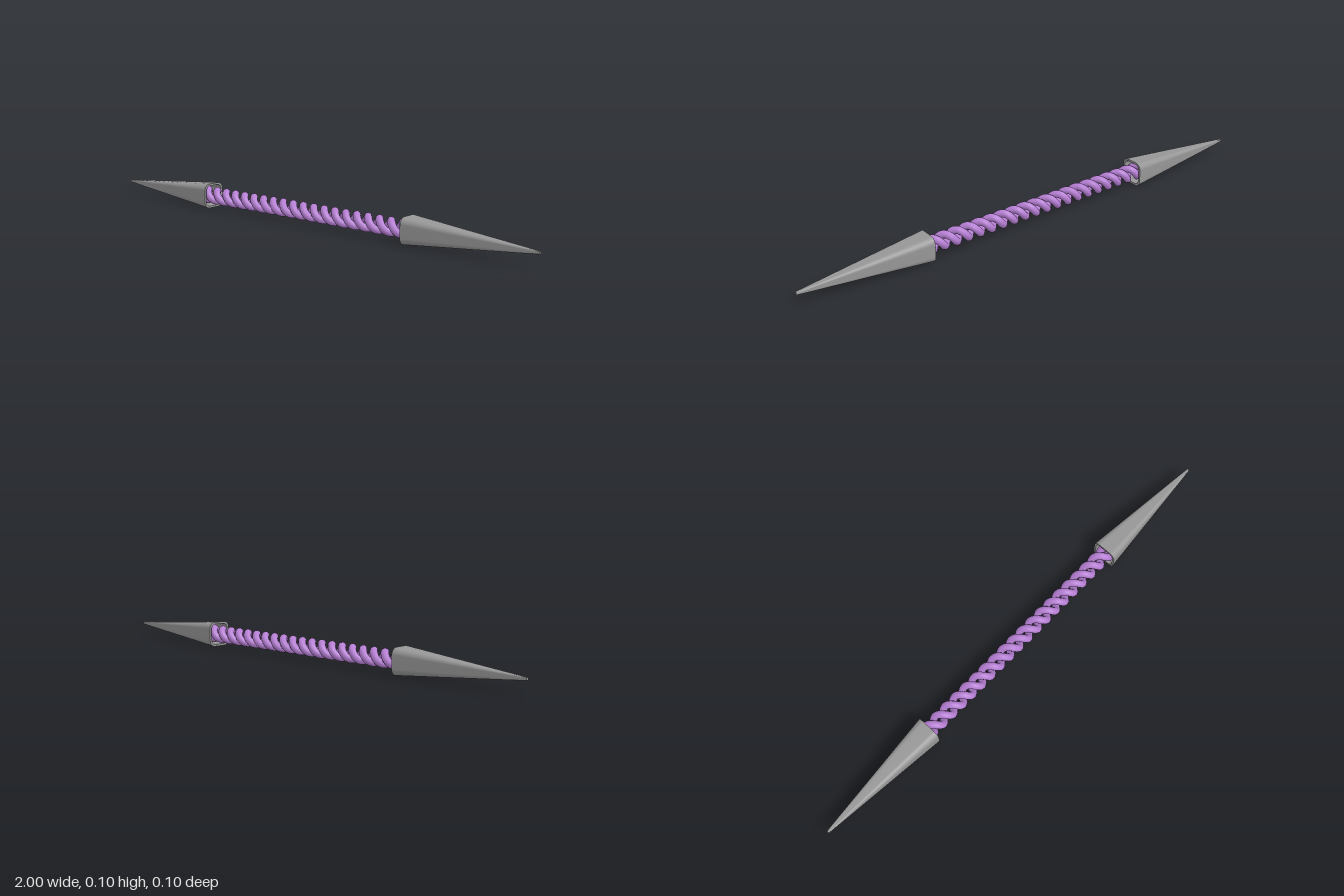
import * as THREE from 'three';
import { mergeGeometries } from 'three/addons/utils/BufferGeometryUtils.js';

const AXIS_Y = 0.05;

// Rounded-square ring of points in the YZ plane at a given x
function ring(x, half) {
  const points = [], radius = half * 0.5, steps = 6;
  for (let corner = 0; corner < 4; corner++) {
    const mid = (corner + 0.5) * Math.PI / 2;
    const cy = Math.sign(Math.cos(mid)) * (half - radius);
    const cz = Math.sign(Math.sin(mid)) * (half - radius);
    for (let i = 0; i <= steps; i++) {
      const a = (corner + i / steps) * Math.PI / 2;
      points.push([x, cy + radius * Math.cos(a), cz + radius * Math.sin(a)]);
    }
  }
  return points;
}

// Smooth band joining two rings
function band(a, b) {
  const n = a.length, index = [];
  for (let i = 0; i < n; i++) {
    const j = (i + 1) % n;
    index.push(i, j, n + i, j, n + j, n + i);
  }
  const geometry = new THREE.BufferGeometry();
  geometry.setAttribute('position', new THREE.Float32BufferAttribute([...a, ...b].flat(), 3));
  geometry.setIndex(index);
  geometry.computeVertexNormals();
  return geometry;
}

// Tapered spike with a socket in its wide end, pointing along +x
function spikeGeometry() {
  const profile = [
    [0.56, 0.0005], [0.56, 0.036], [0.485, 0.042], // socket floor and wall
    [0.485, 0.05], [1, 0.005], [1, 0.0002],        // rim, outside, blunt tip
  ];
  const rings = profile.map(([x, half]) => ring(x, half));
  return mergeGeometries(rings.slice(1).map((r, i) => band(rings[i], r)));
}

// Helical centre line of one rope strand
class Helix extends THREE.Curve {
  constructor(phase) {
    super();
    this.phase = phase;
  }
  getPoint(t, target = new THREE.Vector3()) {
    const x = (t - 0.5) * 1.12;
    const a = this.phase + (x / 0.103) * Math.PI * 2;
    return target.set(x, 0.021 * Math.cos(a), 0.021 * Math.sin(a));
  }
}

export function createModel() {
  const model = new THREE.Group();
  model.name = 'doublePointedSpike';
  const steel = new THREE.MeshStandardMaterial({ color: 0x969696, side: THREE.DoubleSide });
  steel.name = 'steel grey';
  const purple = new THREE.MeshStandardMaterial({ color: 0xb67fd4 });
  purple.name = 'purple';

  // Two opposed spikes
  const spike = spikeGeometry();
  ['leftSpike', 'rightSpike'].forEach((name, i) => {
    const mesh = new THREE.Mesh(spike, steel);
    mesh.name = name;
    mesh.position.y = AXIS_Y;
    mesh.rotation.y = i * Math.PI;
    model.add(mesh);
  });

  // Grip of two twisted strands
  const grip = new THREE.Group();
  grip.name = 'twistedGrip';
  grip.position.y = AXIS_Y;
  for (let i = 0; i < 2; i++) {
    const strand = new THREE.Mesh(
      new THREE.TubeGeometry(new Helix(i * Math.PI), 360, 0.015, 10), purple);
    strand.name = 'strand' + (i + 1);
    grip.add(strand);
  }
  model.add(grip);
  return model;
}
